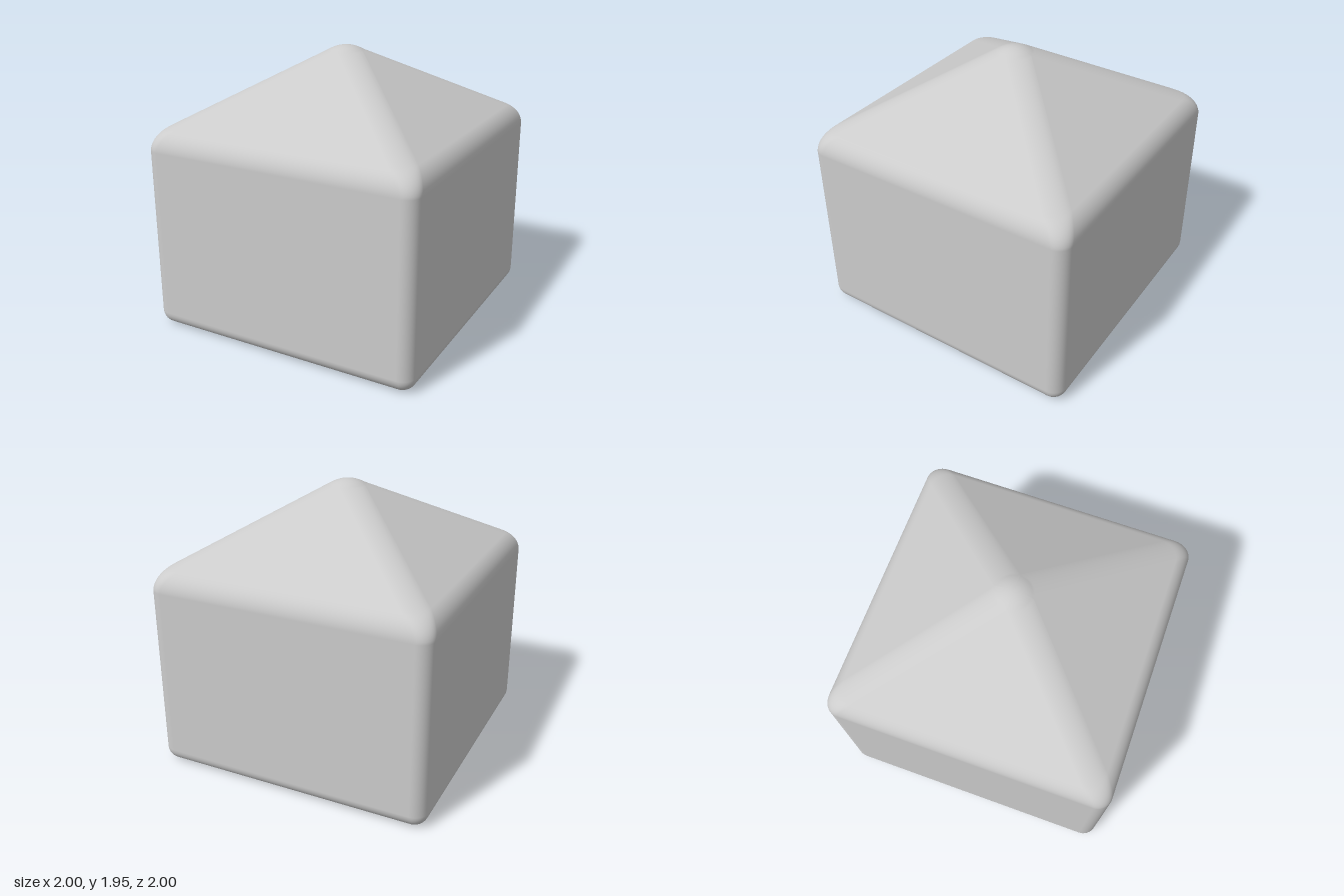
import * as THREE from 'three';

const CORNER_STEPS = 10;
const SLOPE = 0.59; // roof rise per unit of run
const PEAK = 1.99; // height of the roof planes' meeting point before rounding

// Square ring of half-size a at height y, with corners rounded to radius c
function ring(a, y, c) {
  const points = [];
  const m = a - c;
  for (const [k, sx, sz] of [[0, 1, 1], [1, -1, 1], [2, -1, -1], [3, 1, -1]]) {
    for (let i = 0; i <= CORNER_STEPS; i++) {
      const t = (k + i / CORNER_STEPS) * Math.PI / 2;
      points.push(sx * m + c * Math.cos(t), y, sz * m + c * Math.sin(t));
    }
  }
  return points;
}

// Closed skin through a stack of rings, from bottom to top
function loft(rings, bottomY, topY) {
  const n = rings[0].length / 3;
  const index = [];
  const base = rings.length * n;
  const last = base - n;
  for (let i = 0; i < n; i++) {
    const j = (i + 1) % n;
    for (let r = 0; r < rings.length - 1; r++) {
      const p = r * n + i, q = r * n + j;
      index.push(p, p + n, q, q, p + n, q + n);
    }
    index.push(base, i, j, base + 1, last + j, last + i);
  }
  const geometry = new THREE.BufferGeometry();
  const positions = [...rings.flat(), 0, bottomY, 0, 0, topY, 0];
  geometry.setAttribute('position', new THREE.Float32BufferAttribute(positions, 3));
  geometry.setIndex(index);
  geometry.computeVertexNormals();
  return geometry;
}

export function createModel() {
  const group = new THREE.Group();
  group.name = 'roundedHouseBlock';
  const rings = [];

  // Rounded bottom edge
  for (let i = 0; i <= 8; i++) {
    const t = i / 8 * Math.PI / 2;
    rings.push(ring(0.9 + 0.1 * Math.sin(t), 0.1 - 0.1 * Math.cos(t), Math.max(0.002, 0.1 * Math.sin(t))));
  }

  // Rounded eaves, from the upright walls to the roof slope
  const tilt = Math.PI / 2 - Math.atan(SLOPE);
  const hip = 0.132;
  for (let i = 0; i <= 10; i++) {
    const t = i / 10 * tilt;
    rings.push(ring(0.825 + 0.175 * Math.cos(t), 1.3 + 0.175 * Math.sin(t), 0.1 + (hip - 0.1) * i / 10));
  }

  // Soft peak, a shallow dome tangent to the roof planes
  const domeTop = PEAK - SLOPE * hip / 2;
  for (let i = 0; i < 8; i++) {
    const r = hip * (1 - i / 8);
    rings.push(ring(r, domeTop - SLOPE * r * r / (2 * hip), r));
  }

  const body = new THREE.Mesh(
    loft(rings, 0, domeTop),
    new THREE.MeshStandardMaterial({ color: 0xcccccc })
  );
  body.name = 'bodyWithPyramidRoof';
  group.add(body);
  return group;
}
